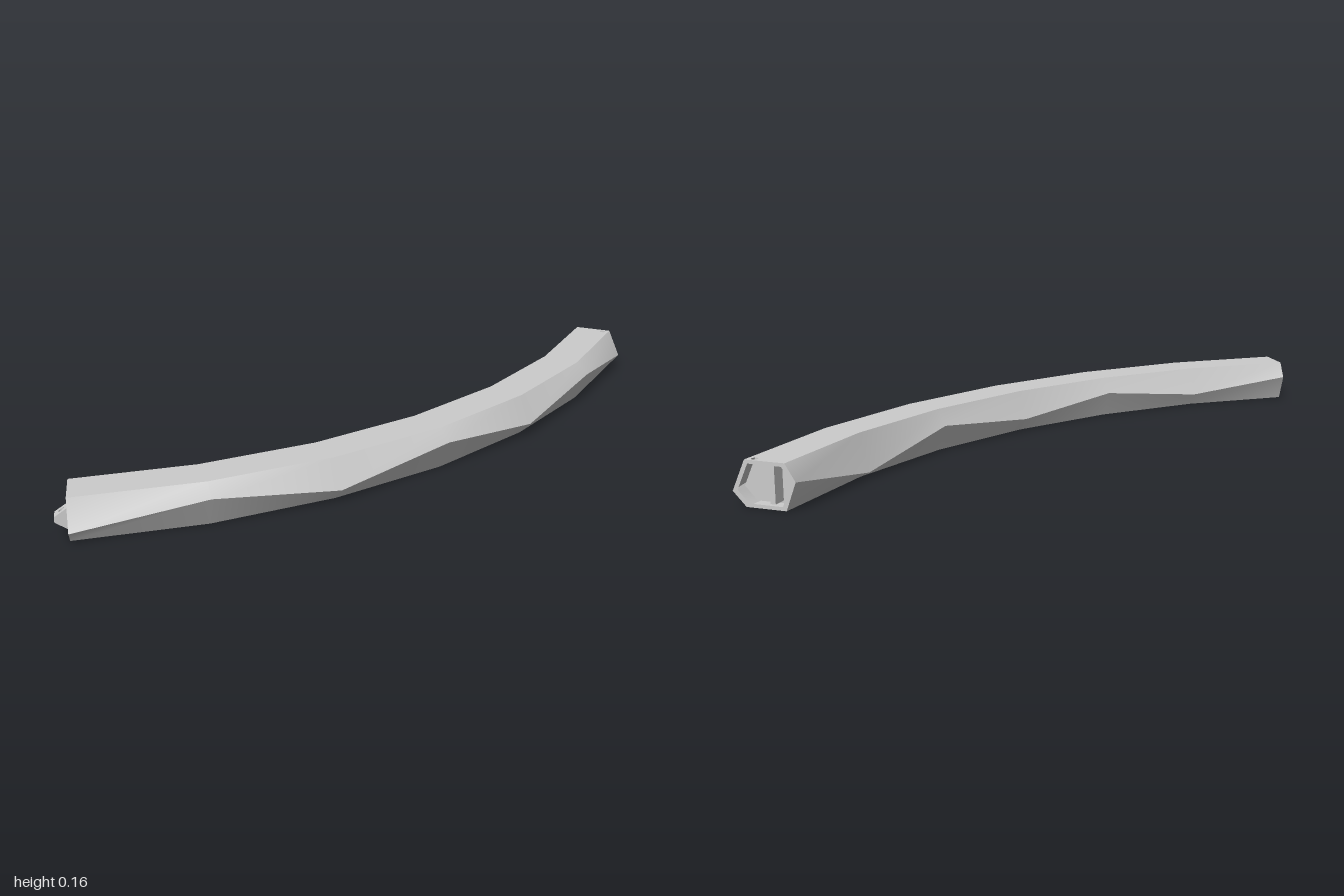
import * as THREE from 'three';

const CX = -1.727, CZ = -1.733;            // centre of the curve
const STEP = THREE.MathUtils.degToRad(9.6), SEGMENTS = 6;
const R = { out: 2.842, outTop: 2.793, inTop: 2.645, in: 2.607 };
const HEIGHT = 0.16, PIN_R = 2.766, PIN_INSET = 0.021;
const outerMid = [0.05, 0.115, 0.05, 0.115, 0.05, 0.115, 0.05];
const innerMid = [0.1, 0.05, 0.1, 0.05, 0.1, 0.02, 0.1];

const angle = (i) => Math.PI / 4 + (SEGMENTS / 2 - i) * STEP;

// Hexagonal cross-section as [radius, height]
const profile = (i) => [
  [R.outTop, 0], [R.out, outerMid[i]], [R.outTop, HEIGHT],
  [R.inTop, HEIGHT], [R.in, innerMid[i]], [R.inTop, 0],
];

const polar = (i, r) => [CX + r * Math.cos(angle(i)), CZ + r * Math.sin(angle(i))];

// Profile outline, shrunk about its centre
function profileShape(i, scale, Type = THREE.Shape) {
  const cr = 2.725, cy = HEIGHT / 2;
  return new Type(profile(i).map(([r, y]) =>
    new THREE.Vector2(cr + (r - cr) * scale, cy + (y - cy) * scale)));
}

// One smooth flank strip between profile corners k and k + 1
function flankGeometry(k) {
  const pos = [], index = [];
  for (let i = 0; i <= SEGMENTS; i++) {
    for (const [r, y] of profile(i).slice(k, k + 2)) {
      const [x, z] = polar(i, r);
      pos.push(x, y, z);
    }
    const a = 2 * i;
    if (i < SEGMENTS) index.push(a, a + 2, a + 3, a, a + 3, a + 1);
  }
  const g = new THREE.BufferGeometry();
  g.setAttribute('position', new THREE.Float32BufferAttribute(pos, 3));
  g.setIndex(index);
  g.computeVertexNormals();
  return g;
}

// Flat curved plate with the pin hole; dir = 1 faces up, -1 faces down
function plateGeometry(dir) {
  const pts = [];
  for (let i = 0; i <= SEGMENTS; i++) pts.push(polar(i, R.outTop));
  for (let i = SEGMENTS; i >= 0; i--) pts.push(polar(i, R.inTop));
  const shape = new THREE.Shape(pts.map(([x, z]) => new THREE.Vector2(x, -dir * z)));
  const phi = angle(SEGMENTS), [px, pz] = polar(SEGMENTS, PIN_R);
  const hole = new THREE.Path();
  hole.absarc(px - PIN_INSET * Math.sin(phi), -dir * (pz + PIN_INSET * Math.cos(phi)),
    0.012, 0, Math.PI * 2);
  shape.holes.push(hole);
  return new THREE.ShapeGeometry(shape, 8).rotateX(-dir * Math.PI / 2);
}

// Tapered coupling tab with a vertical pin hole
function tabGeometry() {
  const len = 0.045, half = 0.022, tall = 0.08;
  const shape = new THREE.Shape([[-half, 0], [half, 0], [half, -len], [-half, -len]]
    .map(([x, y]) => new THREE.Vector2(x, y)));
  const hole = new THREE.Path();
  hole.absarc(0, -PIN_INSET, 0.01, 0, Math.PI * 2);
  shape.holes.push(hole);
  const g = new THREE.ExtrudeGeometry(shape, { depth: tall, bevelEnabled: false, curveSegments: 6 });
  g.translate(0, 0, -tall / 2).rotateX(-Math.PI / 2);
  const p = g.attributes.position;
  for (let i = 0; i < p.count; i++) p.setY(i, p.getY(i) * (1 - 0.75 * p.getZ(i) / len));
  g.computeVertexNormals();
  return g;
}

export function createModel() {
  const model = new THREE.Group();
  model.name = 'curvedBarrier';
  const concrete = new THREE.MeshStandardMaterial({ color: 0xcccccc, side: THREE.DoubleSide });
  concrete.name = 'light concrete grey';
  const add = (parent, name, geometry, x = 0, y = 0, z = 0) => {
    const mesh = new THREE.Mesh(geometry, concrete);
    mesh.name = name;
    mesh.position.set(x, y, z);
    parent.add(mesh);
  };

  // Body shell
  ['outerLowerFlank', 'outerUpperFlank', null, 'innerUpperFlank', 'innerLowerFlank']
    .forEach((name, k) => name && add(model, name, flankGeometry(k)));
  add(model, 'topPlate', plateGeometry(1), 0, HEIGHT, 0);
  add(model, 'bottomPlate', plateGeometry(-1));

  // Ends: local x is the radius, local z runs along the curve
  for (const [name, i, out] of [['tabEnd', 0, 1], ['socketEnd', SEGMENTS, -1]]) {
    const end = new THREE.Group();
    end.name = name;
    end.position.set(CX, 0, CZ);
    end.rotation.y = -angle(i);
    model.add(end);

    const rim = profileShape(i, 1);
    rim.holes.push(profileShape(i, 0.84, THREE.Path));
    add(end, 'rim', new THREE.ShapeGeometry(rim));
    add(end, 'recessWall', new THREE.ShapeGeometry(profileShape(i, 0.93)), 0, 0, -out * 0.06);
    add(end, 'recessRib', new THREE.BoxGeometry(0.02, 0.13, 0.05), 2.7, HEIGHT / 2, -out * 0.035);
    if (out > 0) add(end, 'couplingTab', tabGeometry(), PIN_R, HEIGHT / 2, 0);
  }
  return model;
}
